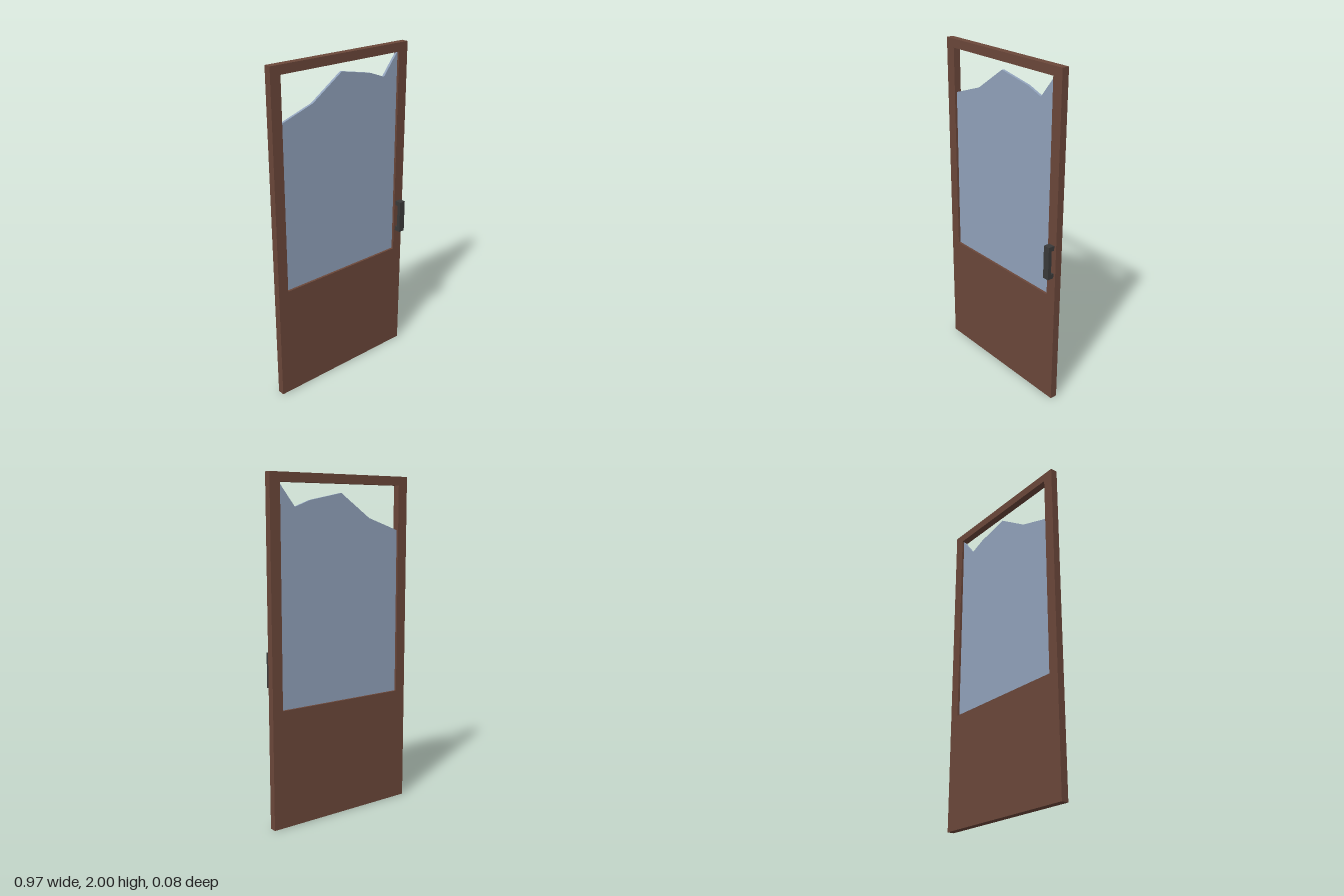
import * as THREE from 'three';

export function createModel() {
  const door = new THREE.Group();
  door.name = 'brokenGlassDoor';

  const material = (name, color) => {
    const m = new THREE.MeshStandardMaterial({ color });
    m.name = name;
    return m;
  };
  const wood = material('brown wood', 0x6b473a);
  const glass = material('blue glass', 0x91a2bb);
  const iron = material('dark metal', 0x3a3a3a);

  const outline = (points) => points.map(([x, y]) => new THREE.Vector2(x, y));

  // Extrude a flat outline from zBack to zFront
  function addPlate(name, shape, zBack, zFront, mat) {
    const geometry = new THREE.ExtrudeGeometry(shape, { depth: zFront - zBack, bevelEnabled: false });
    geometry.translate(0, 0, zBack);
    const mesh = new THREE.Mesh(geometry, mat);
    mesh.name = name;
    door.add(mesh);
  }

  // Door leaf with the window opening
  const leaf = new THREE.Shape(outline([[-0.485, 0], [0.485, 0], [0.485, 2], [-0.485, 2]]));
  leaf.holes.push(new THREE.Path(outline([[-0.42, 0.693], [-0.42, 1.948], [0.42, 1.948], [0.42, 0.693]])));
  addPlate('doorFrame', leaf, -0.043, 0, wood);

  // Pane with a jagged broken top edge
  const pane = new THREE.Shape(outline([
    [-0.42, 0.693], [0.42, 0.693], [0.42, 1.948], [0.317, 1.817],
    [0.215, 1.855], [0, 1.897], [-0.205, 1.757], [-0.42, 1.685],
  ]));
  addPlate('brokenPane', pane, -0.029, -0.014, glass);

  // Pull handle: upright grip on two standoffs
  const handle = new THREE.Group();
  handle.name = 'handle';
  handle.position.set(0.45, 0.92, 0);
  const addBar = (name, height, depth, y, z) => {
    const bar = new THREE.Mesh(new THREE.BoxGeometry(0.04, height, depth), iron);
    bar.name = name;
    bar.position.set(0, y, z);
    handle.add(bar);
  };
  addBar('grip', 0.2, 0.022, 0, 0.029);
  addBar('upperStandoff', 0.028, 0.018, 0.086, 0.009);
  addBar('lowerStandoff', 0.028, 0.018, -0.086, 0.009);
  door.add(handle);

  return door;
}
